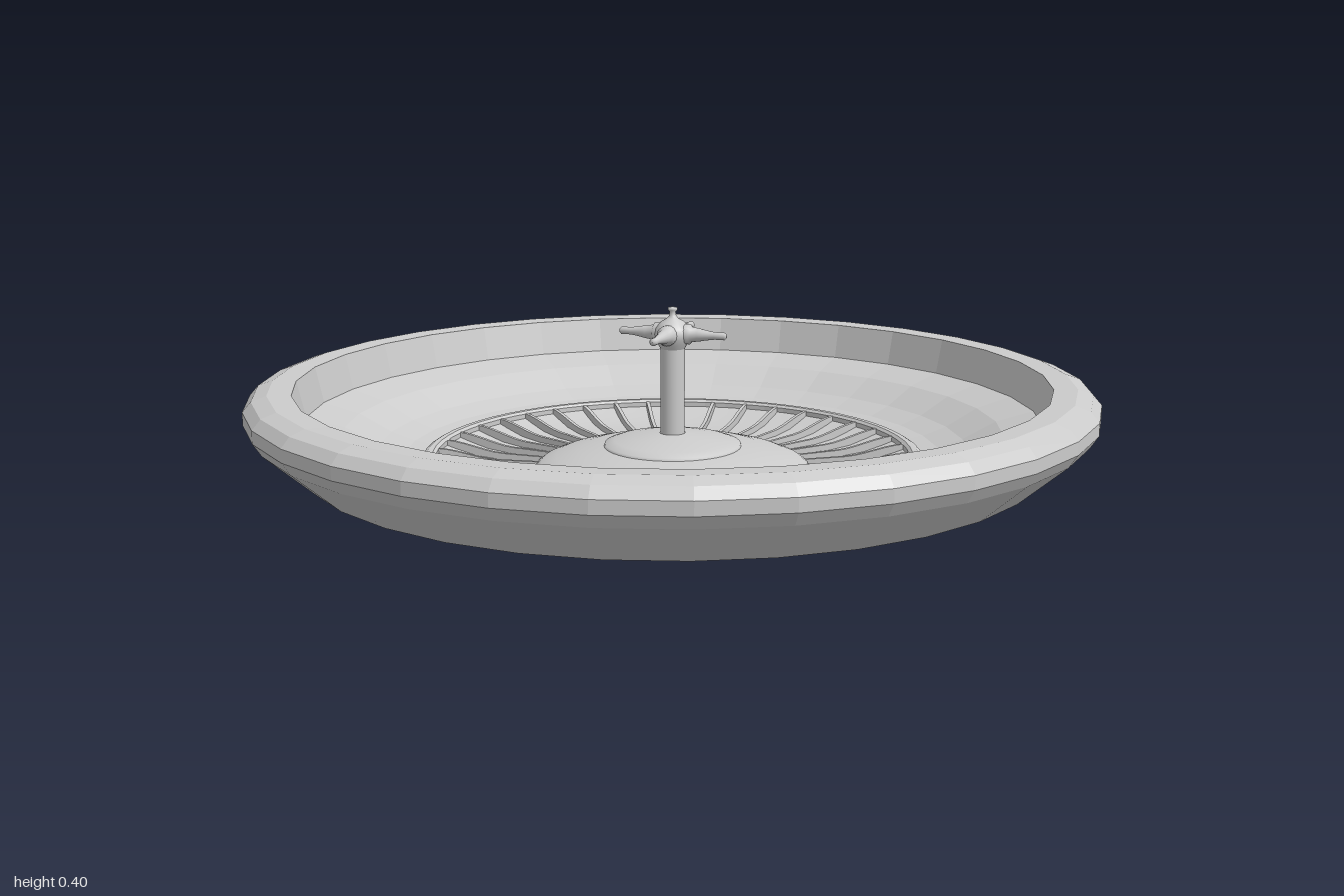
import * as THREE from 'three';

const smooth = new THREE.MeshStandardMaterial({ color: 0xcccccc, side: THREE.DoubleSide });
const faceted = new THREE.MeshStandardMaterial({ color: 0xcccccc, side: THREE.DoubleSide, flatShading: true });

// Turned part from [radius, height] pairs
function lathe(name, profile, segments, material) {
  const points = profile.map(([r, y]) => new THREE.Vector2(r, y));
  const mesh = new THREE.Mesh(new THREE.LatheGeometry(points, segments), material);
  mesh.name = name;
  return mesh;
}

export function createModel() {
  const group = new THREE.Group();
  group.name = 'fountainBasin';

  // Heavy bevelled rim, a closed ring standing below the bowl
  group.add(lathe('rim', [
    [0.87, 0.04], [0.98, 0.135], [1, 0.165], [1, 0.195], [0.98, 0.218], [0.945, 0.23],
    [0.89, 0.228], [0.87, 0.14], [0.87, 0.04],
  ], 32, faceted));

  // Thin bowl sloping down to the grate
  group.add(lathe('bowl', [
    [0.87, 0.14], [0.78, 0.115], [0.7, 0.072], [0.64, 0.052], [0.58, 0.043],
  ], 32, faceted));

  // Ring around the grate
  group.add(lathe('grateRing', [
    [0.595, 0.035], [0.595, 0.05], [0.585, 0.056], [0.572, 0.056], [0.565, 0.05], [0.565, 0.035], [0.595, 0.035],
  ], 64, faceted));

  // Dished floor under the ribs
  group.add(lathe('grateFloor', [
    [0.58, 0.043], [0.54, 0.03], [0.49, 0.016], [0.43, 0.009], [0.32, 0.008],
  ], 64, smooth));

  // Radial ribs with curved upper edges
  const ribShape = new THREE.Shape();
  ribShape.moveTo(0.32, 0.004);
  ribShape.lineTo(0.45, 0);
  ribShape.quadraticCurveTo(0.51, 0.01, 0.575, 0.036);
  ribShape.lineTo(0.575, 0.052);
  ribShape.bezierCurveTo(0.52, 0.05, 0.47, 0.026, 0.42, 0.024);
  ribShape.lineTo(0.32, 0.02);
  const thickness = 0.009;
  const ribGeometry = new THREE.ExtrudeGeometry(ribShape, { depth: thickness, bevelEnabled: false, curveSegments: 6 });
  ribGeometry.translate(0, 0, -thickness / 2);
  const ribs = new THREE.Group();
  ribs.name = 'grateRibs';
  const ribCount = 40;
  for (let i = 0; i < ribCount; i++) {
    const rib = new THREE.Mesh(ribGeometry, faceted);
    rib.name = 'rib';
    rib.rotation.y = (i / ribCount) * Math.PI * 2;
    ribs.add(rib);
  }
  group.add(ribs);

  // Hollow central dome and the flange on top of it
  group.add(lathe('dome', [
    [0.33, 0.004], [0.328, 0.016], [0.315, 0.026], [0.28, 0.04], [0.22, 0.056], [0.15, 0.066], [0.08, 0.072], [0, 0.074],
  ], 64, smooth));
  group.add(lathe('flange', [
    [0.165, 0.062], [0.163, 0.07], [0.14, 0.078], [0.1, 0.086], [0.06, 0.092], [0.03, 0.095],
  ], 48, smooth));

  // Upright pipe
  const post = new THREE.Mesh(new THREE.CylinderGeometry(0.029, 0.029, 0.235, 24), smooth);
  post.name = 'post';
  post.position.y = 0.19;
  group.add(post);

  // Nozzle head with a small top jet
  group.add(lathe('nozzleHead', [
    [0.029, 0.3], [0.036, 0.312], [0.042, 0.325], [0.044, 0.336], [0.04, 0.35], [0.028, 0.364],
    [0.014, 0.372], [0.009, 0.378], [0.007, 0.388], [0.011, 0.392], [0.011, 0.398], [0, 0.4],
  ], 24, smooth));

  // Four tapering side jets
  const jets = new THREE.Group();
  jets.name = 'sideJets';
  for (let i = 0; i < 4; i++) {
    const arm = new THREE.Group();
    arm.name = 'sideJet';
    const jet = lathe('jet', [
      [0.024, 0.03], [0.024, 0.044], [0.018, 0.048], [0.016, 0.065], [0.012, 0.085],
      [0.009, 0.105], [0.009, 0.13], [0.005, 0.134], [0, 0.135],
    ], 16, smooth);
    jet.rotation.z = -Math.PI / 2;
    arm.add(jet);
    arm.position.y = 0.336;
    arm.rotation.y = i * Math.PI / 2;
    jets.add(arm);
  }
  group.add(jets);

  return group;
}
